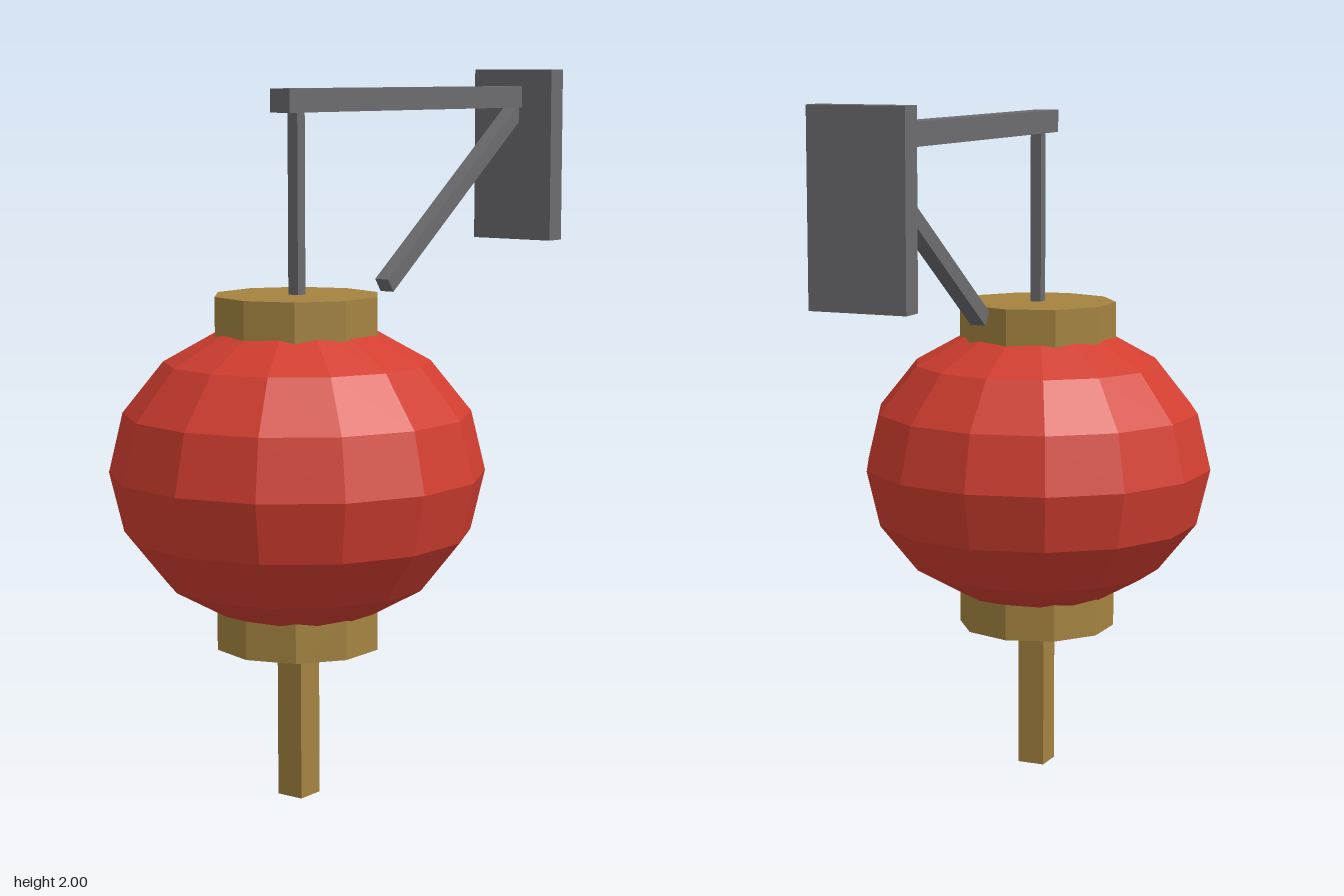
import * as THREE from 'three';

const material = (name, color) => {
  const m = new THREE.MeshStandardMaterial({ color, flatShading: true });
  m.name = name;
  return m;
};

export function createModel() {
  const red = material('red paper', 0xd23e30);
  const gold = material('gold trim', 0xa48340);
  const iron = material('grey iron', 0x6c6c6f);

  const model = new THREE.Group();
  model.name = 'hangingLantern';

  const add = (parent, name, geometry, mat, x, y, z) => {
    const mesh = new THREE.Mesh(geometry, mat);
    mesh.name = name;
    mesh.position.set(x, y, z);
    parent.add(mesh);
    return mesh;
  };
  const box = (w, h, d) => new THREE.BoxGeometry(w, h, d);

  // Wall bracket: plate, horizontal arm and diagonal brace
  const bracket = new THREE.Group();
  bracket.name = 'bracket';
  model.add(bracket);
  add(bracket, 'wallPlate', box(0.274, 0.514, 0.066), iron, 0, 1.743, -0.797);
  add(bracket, 'arm', box(0.066, 0.064, 1.155), iron, 0, 1.918, -0.195);

  const low = new THREE.Vector3(0, 1.392, -0.095);
  const high = new THREE.Vector3(0, 1.877, -0.775);
  const middle = low.clone().add(high).multiplyScalar(0.5);
  const brace = add(bracket, 'brace', box(0.045, 0.045, low.distanceTo(high)), iron, 0, middle.y, middle.z);
  brace.rotation.x = Math.atan2(high.y - low.y, low.z - high.z);

  // Lantern hanging under the end of the arm
  const lantern = new THREE.Group();
  lantern.name = 'lantern';
  lantern.position.z = 0.312;
  model.add(lantern);
  add(lantern, 'hangingRod', box(0.033, 0.51, 0.033), iron, 0, 1.645, 0);

  // Squashed faceted globe
  const globe = new THREE.SphereGeometry(0.515, 14, 8);
  globe.rotateY(Math.PI / 2);
  globe.scale(1, 0.43 / 0.515, 1);
  add(lantern, 'globe', globe, red, 0, 0.912, 0);

  // Ten-sided collars above and below
  for (const [name, side] of [['topCollar', 1], ['bottomCollar', -1]]) {
    add(lantern, name, new THREE.CylinderGeometry(0.23, 0.23, 0.13, 10), gold, 0, 0.912 + side * 0.42, 0);
  }

  // Tassel
  add(lantern, 'tassel', box(0.081, 0.44, 0.083), gold, 0, 0.22, 0);

  return model;
}
